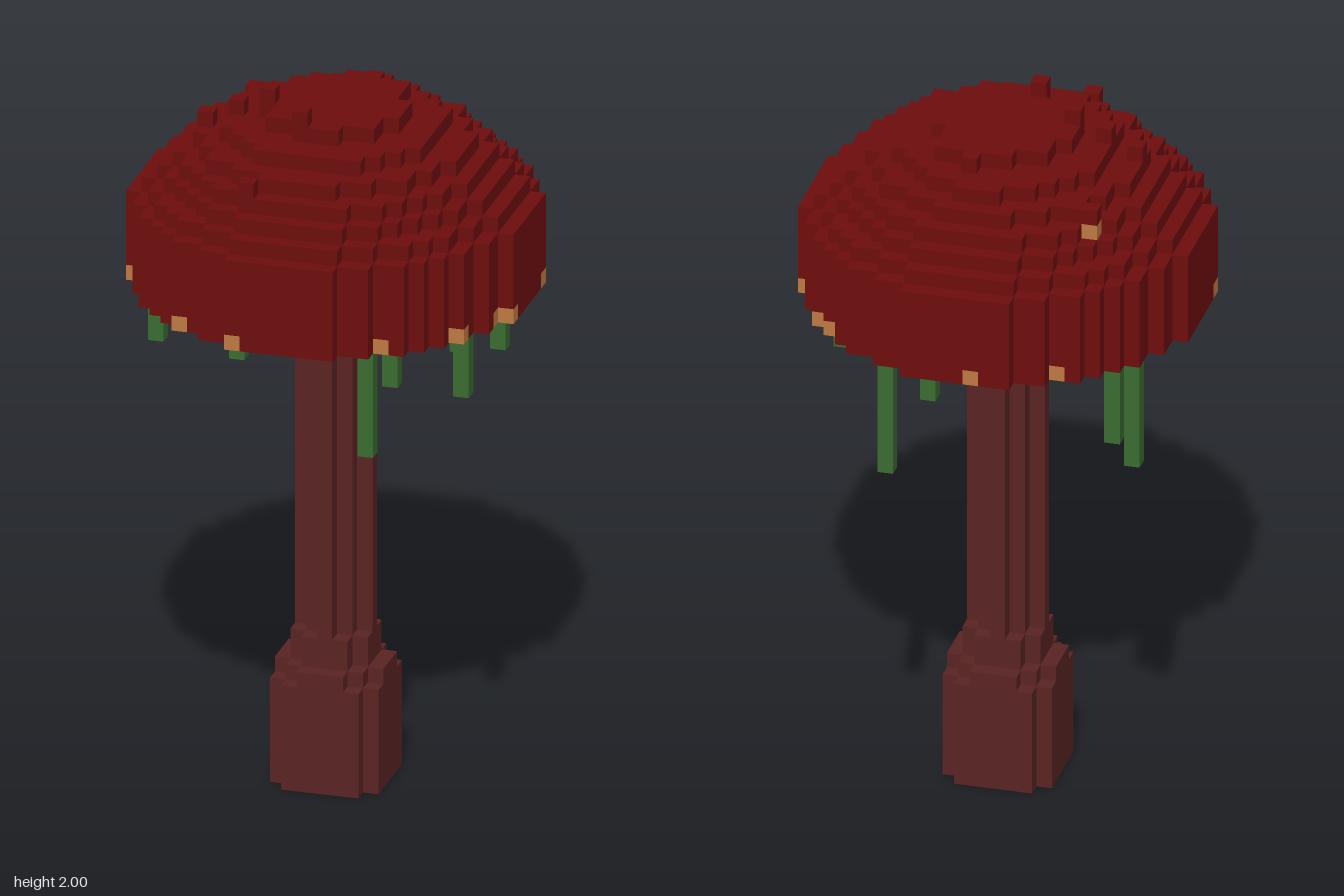
import * as THREE from 'three';

const U = 2 / 46; // edge of one cube

const mats = {
  cap: new THREE.MeshStandardMaterial({ name: 'darkRed', color: 0x6e0d0d }),
  stem: new THREE.MeshStandardMaterial({ name: 'maroonBrown', color: 0x5a2323 }),
  glowSpots: new THREE.MeshStandardMaterial({ name: 'orange', color: 0xc07a42 }),
  vines: new THREE.MeshStandardMaterial({ name: 'leafGreen', color: 0x3a6b2f }),
};

// Cube faces: outward normal and two edge directions with u x v = n
const FACES = [
  [[1, 0, 0], [0, 1, 0], [0, 0, 1]], [[-1, 0, 0], [0, 0, 1], [0, 1, 0]],
  [[0, 1, 0], [0, 0, 1], [1, 0, 0]], [[0, -1, 0], [1, 0, 0], [0, 0, 1]],
  [[0, 0, 1], [1, 0, 0], [0, 1, 0]], [[0, 0, -1], [0, 1, 0], [1, 0, 0]],
];
const key = (x, y, z) => `${x},${y},${z}`;

// One mesh from all the exposed cube faces of a part
function partMesh(cells, part) {
  const pos = [], nor = [], idx = [];
  for (const [k, p] of cells) {
    if (p !== part) continue;
    const c = k.split(',').map(Number);
    for (const [n, u, v] of FACES) {
      if (cells.has(key(c[0] + n[0], c[1] + n[1], c[2] + n[2]))) continue;
      const b = pos.length / 3;
      for (const [s, t] of [[-1, -1], [1, -1], [1, 1], [-1, 1]]) {
        for (let i = 0; i < 3; i++) {
          const mid = c[i] + (i === 1 ? 0.5 : 0);
          pos.push((mid + (n[i] + s * u[i] + t * v[i]) / 2) * U);
        }
        nor.push(...n);
      }
      idx.push(b, b + 1, b + 2, b, b + 2, b + 3);
    }
  }
  const g = new THREE.BufferGeometry();
  g.setAttribute('position', new THREE.Float32BufferAttribute(pos, 3));
  g.setAttribute('normal', new THREE.Float32BufferAttribute(nor, 3));
  g.setIndex(idx);
  const m = new THREE.Mesh(g, mats[part]);
  m.name = part;
  return m;
}

// Squared radius of the cap dome at each layer
function capRadiusSq(y) {
  if (y < 33 || y > 44) return -1;
  if (y < 39) return 156;
  return [132, 110, 92, 72, 46, 18][y - 39];
}

function inStem(ax, az, y) {
  if (y < 7) return ax <= 3 && az <= 3 && ax + az < 6;   // foot
  if (y === 7) return ax <= 3 && az <= 3 && ax + az < 5; // bevelled foot top
  if (y < 10) return ax <= 2 && az <= 2 && ax + az < 4;  // collar
  return ax + az <= 2;                                   // shaft
}

export function createModel() {
  const cells = new Map();
  const put = (x, y, z, part) => cells.set(key(x, y, z), part);
  const inDome = (x, y, z) => x * x + z * z <= capRadiusSq(Math.max(y, 33));

  // Cap: hollow shell one cube thick, open underneath
  for (let y = 33; y < 45; y++)
    for (let x = -12; x <= 12; x++)
      for (let z = -12; z <= 12; z++)
        if (inDome(x, y, z) && FACES.some(([n]) => !inDome(x + n[0], y + n[1], z + n[2])))
          put(x, y, z, 'cap');

  // Loose cubes on top of the cap
  for (const [x, y, z] of [
    [-4, 45, 1], [-1, 45, 4], [-6, 44, 1], [-8, 43, 1], [-3, 42, 9],
    [1, 44, -5], [2, 44, -4], [3, 44, -4], [-1, 43, -7], [0, 43, -7], [1, 43, -7], [-7, 42, -6],
  ]) put(x, y, z, 'cap');

  // Glowing spots along the rim, and one on the dome
  for (const [x, z] of [
    [-12, 3], [-7, 10], [-3, 12], [6, 10], [10, 7], [11, 4], [12, 3],
    [12, -3], [10, -7], [9, -8], [-1, -12], [-6, -10],
  ]) put(x, 33, z, 'glowSpots');
  put(-7, 41, -6, 'glowSpots');

  // Stem, reaching the inside of the dome
  for (let y = 0; y < 44; y++)
    for (let x = -3; x <= 3; x++)
      for (let z = -3; z <= 3; z++)
        if (inStem(Math.abs(x), Math.abs(z), y)) put(x, y, z, 'stem');

  // Hanging vines: x, z, lowest layer
  for (const [x, z, low] of [
    [-10, -7, 26], [-9, -8, 28], [-10, 5, 30], [-3, 11, 32], [5, 10, 26],
    [6, 8, 30], [10, 6, 29], [10, -2, 29], [5, -10, 25], [2, -11, 31],
  ])
    for (let y = low; y < 39; y++)
      if (!cells.has(key(x, y, z))) put(x, y, z, 'vines');

  const group = new THREE.Group();
  group.name = 'giantMushroom';
  for (const part of Object.keys(mats)) group.add(partMesh(cells, part));
  return group;
}
